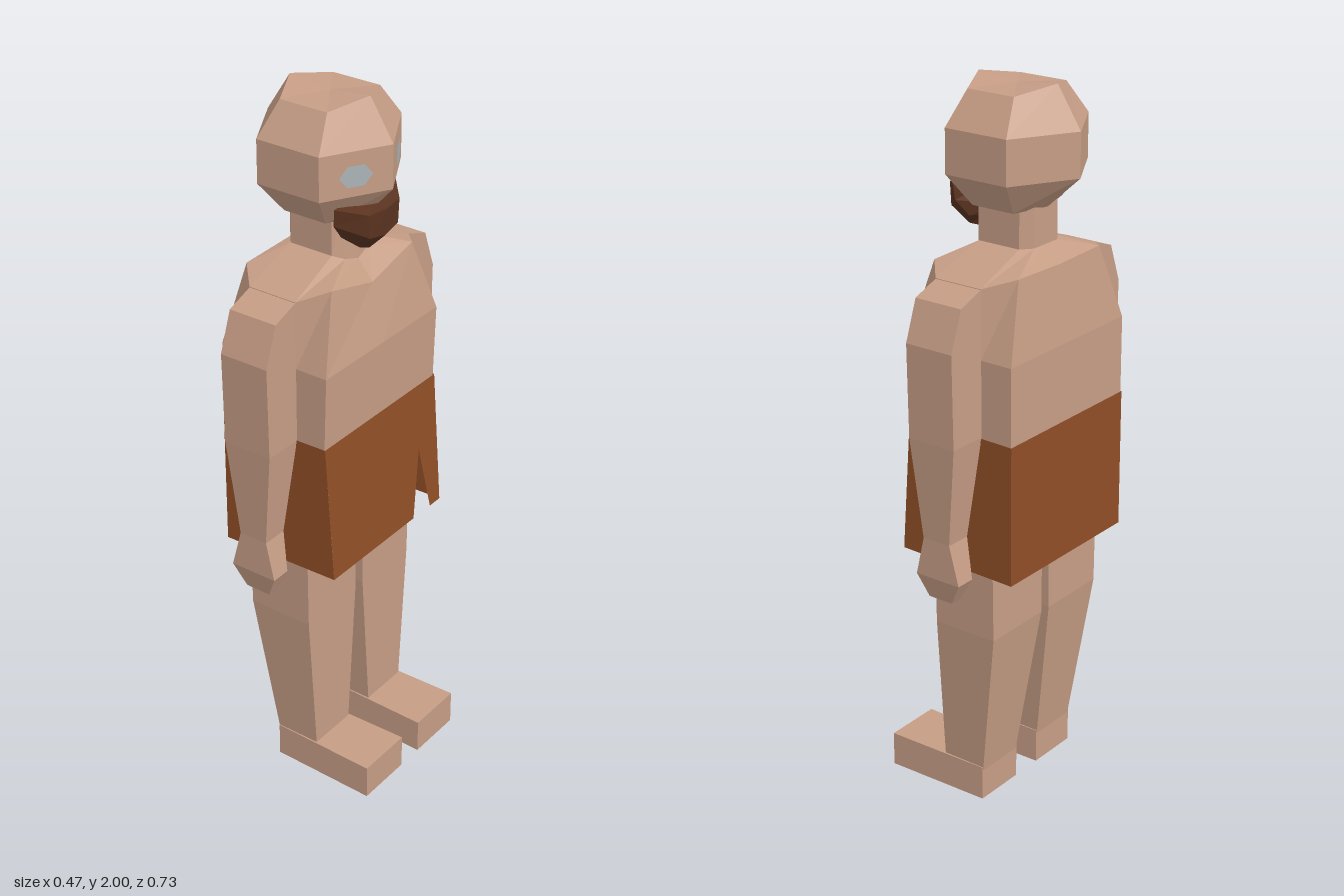
import * as THREE from 'three';

const material = (color) => new THREE.MeshStandardMaterial({ color, flatShading: true });
const skin = material(0xc69d85);
const hair = material(0x5a3320);
const cloth = material(0x8f4e26);
cloth.side = THREE.DoubleSide;
const eyeGrey = material(0xaab4b8);

// Completes a half ring (front to back, on +z) by mirroring it across z = 0
const mirrored = (half) => [
  ...half,
  ...half.slice(1, -1).reverse().map(([x, y, z]) => [x, y, -z]),
];

// Skins closed rings from bottom to top and caps both ends
function loft(rings) {
  const pos = [];
  const tri = (...pts) => pts.forEach((p) => pos.push(...p));
  const n = rings[0].length;
  const centre = (r) => [0, 1, 2].map((k) => r.reduce((s, p) => s + p[k], 0) / n);
  const low = rings[0], high = rings[rings.length - 1];
  for (let j = 0; j < n; j++) {
    const k = (j + 1) % n;
    for (let i = 0; i < rings.length - 1; i++) {
      const a = rings[i], b = rings[i + 1];
      tri(a[j], b[j], a[k]);
      tri(a[k], b[j], b[k]);
    }
    tri(centre(low), low[j], low[k]);
    tri(centre(high), high[k], high[j]);
  }
  const g = new THREE.BufferGeometry();
  g.setAttribute('position', new THREE.Float32BufferAttribute(pos, 3));
  g.computeVertexNormals();
  return g;
}

// Four-sided limb; each section is [y, back x, front x, inner z, outer z, outer y]
function limb(sections, side) {
  return loft(sections.map(([y, x0, x1, zIn, zOut, yOut = y]) => {
    const a = [zIn * side, y], b = [zOut * side, yOut];
    const [lo, hi] = side > 0 ? [a, b] : [b, a];
    return [[x1, lo[1], lo[0]], [x1, hi[1], hi[0]], [x0, hi[1], hi[0]], [x0, lo[1], lo[0]]];
  }));
}

export function createModel() {
  const model = new THREE.Group();
  const add = (name, geometry, mat) => {
    const mesh = new THREE.Mesh(geometry, mat);
    mesh.name = name;
    model.add(mesh);
    return mesh;
  };

  // Torso, sloping shoulders and neck
  const chest = (y, front) => mirrored([
    [front, y, 0], [front, y, 0.245], [0.03, y, 0.245],
    [-0.115, y, 0.245], [-0.21, y, 0.245], [-0.21, y, 0],
  ]);
  const neck = (y, dip, s) => mirrored([
    [0.045 * s, y - dip, 0], [0.04 * s, y - dip / 2, 0.05], [0.02, y, 0.08],
    [-0.11, y, 0.08], [-0.135, y, 0.05], [-0.135, y, 0],
  ]);
  add('torso', loft([
    chest(1.1, 0.118),
    chest(1.33, 0.125),
    mirrored([
      [0.09, 1.495, 0], [0.09, 1.54, 0.175], [0.03, 1.52, 0.245],
      [-0.115, 1.52, 0.245], [-0.18, 1.54, 0.175], [-0.18, 1.535, 0],
    ]),
    neck(1.58, 0.03, 1),
    neck(1.69, 0, 0.7),
  ]), skin);

  // Faceted head
  const headRing = (y, front, frontSide, backSide, back, z, yMid = y) => mirrored([
    [front, yMid, 0], [frontSide, y, z], [backSide, y, z], [back, yMid, 0],
  ]);
  add('head', loft([
    headRing(1.68, 0.07, 0.02, -0.11, -0.14, 0.105),
    headRing(1.77, 0.15, 0.052, -0.14, -0.24, 0.174),
    headRing(1.89, 0.15, 0.052, -0.14, -0.24, 0.174),
    headRing(1.98, 0.08, 0.03, -0.115, -0.168, 0.11, 2.0),
  ]), skin);

  // Pointed beard
  add('beard', loft([
    [[0.08, 1.59, 0], [0.08, 1.605, 0.04], [0.05, 1.64, 0.08], [0.03, 1.63, 0]],
    [[0.13, 1.64, 0], [0.125, 1.65, 0.06], [0.06, 1.69, 0.125], [0.015, 1.66, 0]],
    [[0.135, 1.715, 0], [0.125, 1.715, 0.065], [0.065, 1.738, 0.13], [0.04, 1.72, 0]],
  ].map(mirrored)), hair);

  for (const side of [1, -1]) {
    const label = side > 0 ? 'left' : 'right';

    // Hexagonal eye lying on the slanted face plane
    const eye = add(label + 'Eye', new THREE.CircleGeometry(0.046, 6), eyeGrey);
    eye.scale.y = 0.7;
    eye.position.set(0.103, 1.825, side * 0.09);
    eye.rotation.y = Math.atan2(0.174, side * 0.098);

    // Arm with hand, from fingertips to shoulder
    add(label + 'Arm', limb([
      [0.665, -0.08, -0.005, 0.292, 0.33],
      [0.73, -0.115, 0.025, 0.288, 0.345],
      [0.84, -0.085, 0.0, 0.27, 0.345],
      [1.12, -0.115, 0.03, 0.245, 0.36],
      [1.38, -0.115, 0.03, 0.24, 0.365],
      [1.52, -0.115, 0.03, 0.24, 0.325, 1.49],
    ], side), skin);

    // Leg
    add(label + 'Leg', limb([
      [0.09, -0.08, 0.052, 0.05, 0.2],
      [0.53, -0.142, 0.052, 0.017, 0.232],
      [1.1, -0.142, 0.052, 0.012, 0.24],
    ], side), skin);

    // Flat foot, slightly wider at the toes
    const z = (inner, outer) => (side > 0 ? [inner, outer] : [-outer, -inner]);
    const [h0, h1] = z(0.047, 0.203), [t0, t1] = z(0.04, 0.21);
    add(label + 'Foot', loft([0, 0.1].map((y) => [
      [0.235, y, t0], [0.235, y, t1], [-0.08, y, h1], [-0.08, y, h0],
    ])), skin);
  }

  // Open cloth wrap; the front panel has a triangular slit
  const w = 0.247;
  const front = new THREE.Shape([
    [-w, 0.73], [0.2 - 0.08 - w + 0.247 - 0.24, 0.73],
  ].slice(0, 1).concat([
    [0.12, 0.73], [0.16, 0.93], [0.2, 0.73], [w, 0.73], [w, 1.122], [-w, 1.122],
  ]).map(([u, y]) => new THREE.Vector2(u, y)));
  const panel = new THREE.ShapeGeometry(front);
  const p = panel.attributes.position;
  for (let i = 0; i < p.count; i++) {
    const y = p.getY(i);
    p.setXYZ(i, 0.122 + (1.122 - y) * 0.072, y, -p.getX(i));
  }
  panel.computeVertexNormals();
  add('wrapFront', panel, cloth);

  const wall = (name, a, b, c, d) => {
    const g = new THREE.BufferGeometry();
    g.setAttribute('position', new THREE.Float32BufferAttribute([a, b, c, a, c, d].flat(), 3));
    g.computeVertexNormals();
    add(name, g, cloth);
  };
  wall('wrapLeft', [-0.212, 0.722, w], [0.15, 0.73, w], [0.122, 1.122, w], [-0.212, 1.115, w]);
  wall('wrapRight', [0.15, 0.73, -w], [-0.212, 0.722, -w], [-0.212, 1.115, -w], [0.122, 1.122, -w]);
  wall('wrapBack', [-0.212, 0.722, -w], [-0.212, 0.722, w], [-0.212, 1.115, w], [-0.212, 1.115, -w]);

  return model;
}
